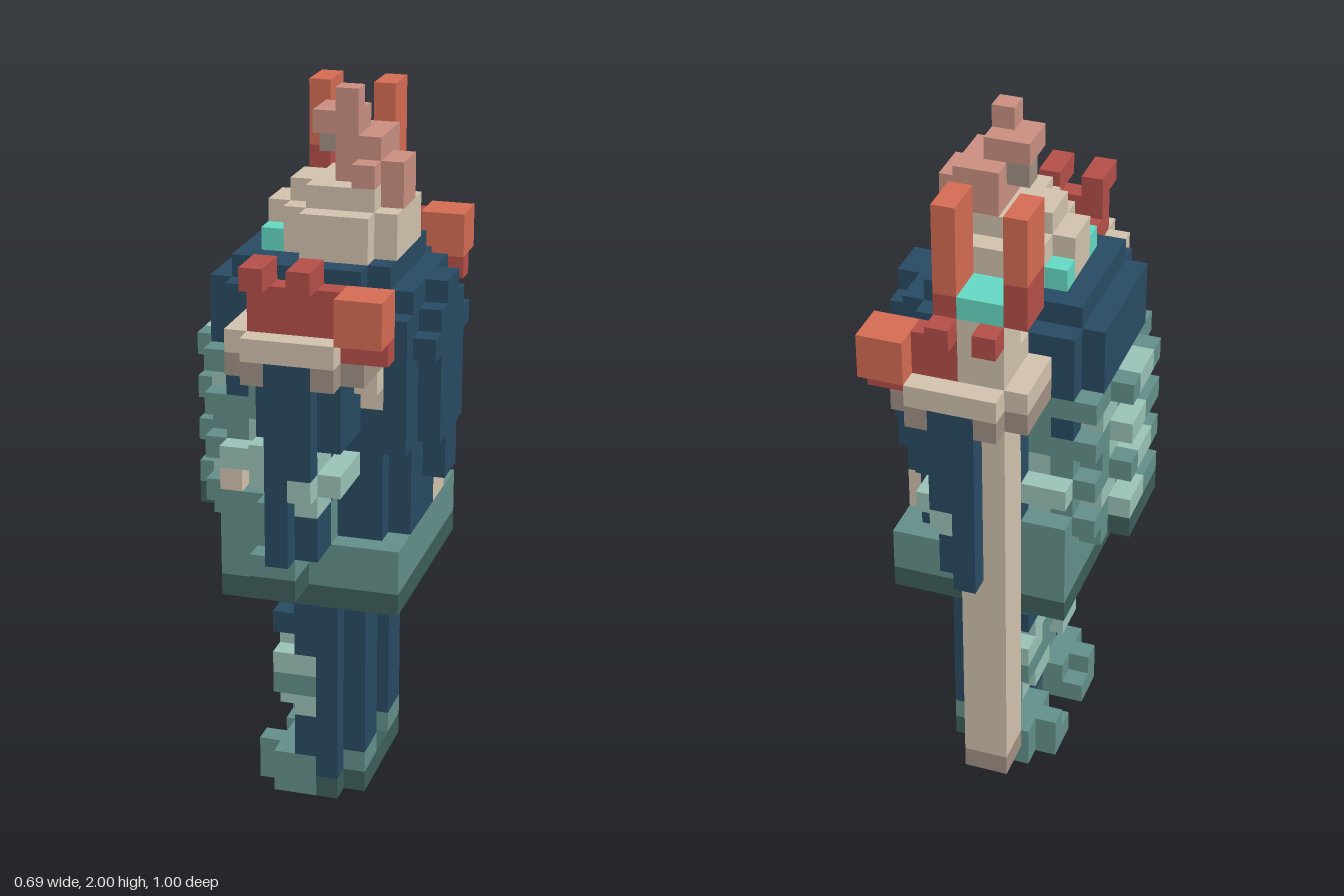
import * as THREE from 'three';

const U = 1 / 16; // one block
const COLORS = {
  navy: 0x294b63, darkTeal: 0x3d5f5b, teal: 0x64908b, paleTeal: 0x9bc3b8, gem: 0x64dac5,
  bone: 0xd2c3ae, taupe: 0xa29285, pink: 0xcb9082, red: 0xb54f49, orange: 0xd66c53,
};

// Each face: direction and four corners, counter-clockwise from outside
const FACES = [
  [[1, 0, 0], [[1, 0, 0], [1, 1, 0], [1, 1, 1], [1, 0, 1]]],
  [[-1, 0, 0], [[0, 0, 0], [0, 0, 1], [0, 1, 1], [0, 1, 0]]],
  [[0, 1, 0], [[0, 1, 0], [0, 1, 1], [1, 1, 1], [1, 1, 0]]],
  [[0, -1, 0], [[0, 0, 0], [1, 0, 0], [1, 0, 1], [0, 0, 1]]],
  [[0, 0, 1], [[0, 0, 1], [1, 0, 1], [1, 1, 1], [0, 1, 1]]],
  [[0, 0, -1], [[0, 0, 0], [0, 1, 0], [1, 1, 0], [1, 0, 0]]],
];

export function createModel() {
  const cells = new Map();
  let part = '';

  // Fill a block range (x, y, z from-to); later fills replace earlier ones
  const fill = (color, x0, x1, y0, y1, z0, z1) => {
    for (let x = x0; x < x1; x++)
      for (let y = y0; y < y1; y++)
        for (let z = z0; z < z1; z++) cells.set(`${x},${y},${z}`, { p: [x, y, z], part, color });
  };
  const both = (color, x0, x1, y0, y1, z0, z1) => {
    fill(color, x0, x1, y0, y1, z0, z1);
    fill(color, x0, x1, y0, y1, 16 - z1, 16 - z0);
  };

  part = 'legs';
  fill('navy', 5, 7, 1, 10, 4, 12);
  both('navy', 5, 8, 1, 10, 9, 11);
  both('navy', 4, 5, 8, 9, 9, 12);
  fill('navy', 3, 9, 9, 10, 7, 9);
  fill('navy', 4, 8, 9, 10, 5, 11);

  part = 'shinScales';
  both('teal', 5, 6, 2, 4, 9, 11);
  both('paleTeal', 5, 6, 2, 3, 8, 10);
  both('paleTeal', 5, 6, 4, 5, 9, 12);
  both('paleTeal', 4, 5, 4, 5, 9, 11);
  both('teal', 4, 6, 5, 6, 9, 12);
  both('paleTeal', 5, 6, 6, 7, 9, 12);
  both('paleTeal', 4, 5, 6, 7, 10, 12);
  both('teal', 4, 6, 6, 7, 8, 10);
  both('paleTeal', 4, 5, 7, 8, 9, 11);
  both('teal', 5, 6, 7, 9, 8, 11);

  part = 'feet';
  fill('darkTeal', 5, 8, 0, 1, 5, 11);
  both('darkTeal', 5, 7, 0, 1, 11, 12);
  both('teal', 4, 6, 0, 2, 9, 12);
  both('teal', 3, 4, 0, 2, 10, 11);
  both('teal', 3, 4, 0, 1, 9, 10);
  both('teal', 7, 8, 1, 2, 9, 11);

  part = 'belt';
  fill('darkTeal', 2, 10, 10, 11, 3, 13);
  fill('teal', 2, 10, 11, 13, 3, 13);

  part = 'cloak';
  fill('navy', 3, 9, 13, 24, 4, 12);
  fill('navy', 2, 9, 24, 25, 5, 11);
  both('navy', 4, 8, 24, 25, 11, 12);
  fill('navy', 9, 10, 13, 24, 5, 11);
  both('navy', 9, 10, 17, 23, 11, 12);
  fill('navy', 2, 3, 21, 24, 4, 12);
  fill('navy', 1, 2, 21, 24, 5, 11);
  // raised spine, widest near the shoulders: [y0, y1, half width]
  for (const [y0, y1, w] of [[15, 17, 1], [17, 21, 2], [21, 22, 3], [22, 23, 2], [23, 24, 1]])
    fill('navy', 10, 11, y0, y1, 8 - w, 8 + w);
  part = 'cloakPatch';
  fill('bone', 9, 10, 13, 15, 5, 7);

  part = 'bellyScales';
  fill('teal', 2, 4, 13, 21, 4, 12);
  fill('teal', 1, 2, 13, 21, 5, 11);
  both('teal', 2, 4, 13, 15, 12, 13);
  both('paleTeal', 2, 4, 16, 17, 12, 13);
  both('paleTeal', 3, 4, 15, 18, 11, 12);
  both('navy', 2, 3, 19, 20, 11, 12);
  // staggered rows of jutting scales
  for (let y = 14; y < 21; y += 2) {
    const shift = y % 4 === 0 ? 0 : 1;
    fill('teal', 0, 1, y, y + 1, 6, 10);
    fill('paleTeal', 0, 1, y, y + 1, 7 - shift, 9 - shift);
    both('teal', 1, 2, y, y + 1, 11, 12);
    both('paleTeal', 1, 2, y - 1, y, 9 - shift, 11 - shift);
  }
  fill('darkTeal', 0, 2, 13, 14, 6, 10);
  fill('bone', 2, 3, 15, 16, 12, 13);

  part = 'arms';
  both('navy', 5, 8, 18, 21, 13, 15);
  both('navy', 4, 8, 18, 21, 12, 14);
  both('navy', 4, 7, 15, 18, 12, 13);
  both('navy', 5, 7, 13, 18, 13, 15);
  both('navy', 5, 6, 13, 22, 15, 16);
  both('navy', 6, 7, 17, 22, 15, 16);
  part = 'cuffs';
  both('paleTeal', 4, 5, 16, 18, 13, 15);
  both('paleTeal', 6, 7, 15, 18, 13, 15);
  both('paleTeal', 7, 8, 16, 17, 12, 15);
  both('paleTeal', 6, 7, 16, 17, 15, 16);
  both('teal', 6, 7, 13, 15, 12, 13);
  both('teal', 4, 5, 13, 15, 12, 14);
  part = 'hand';
  fill('darkTeal', 4, 6, 11, 12, 13, 15);
  fill('teal', 4, 6, 12, 13, 13, 15);

  part = 'shoulderPads';
  both('taupe', 3, 9, 21, 22, 12, 15);
  both('taupe', 4, 8, 21, 22, 15, 16);
  both('navy', 5, 7, 21, 22, 15, 16);
  both('bone', 3, 9, 22, 23, 12, 15);
  both('bone', 4, 8, 22, 23, 15, 16);
  both('bone', 4, 8, 23, 24, 12, 13);
  both('bone', 8, 9, 20, 21, 12, 13);
  both('bone', 8, 9, 19, 20, 11, 12);
  part = 'shoulderCrests';
  both('red', 4, 8, 23, 24, 13, 14);
  both('red', 4, 8, 23, 25, 14, 15);
  for (const x of [4, 6]) both('red', x, x + 1, 25, 26, 14, 16);
  part = 'shoulderHorns';
  both('red', 8, 9, 22, 24, 14, 15);
  both('orange', 8, 10, 23, 25, 14, 16);
  both('red', 9, 10, 22, 23, 14, 15);

  part = 'staff';
  fill('taupe', 4, 6, 2, 3, 1, 3);
  fill('bone', 4, 6, 3, 26, 1, 3);
  part = 'staffHead';
  fill('gem', 4, 6, 26, 27, 1, 3);
  fill('red', 3, 4, 26, 28, 1, 3);
  fill('orange', 3, 4, 28, 31, 1, 3);
  fill('red', 6, 7, 25, 27, 1, 3);
  fill('orange', 6, 7, 27, 31, 1, 3);

  part = 'head';
  fill('bone', 4, 9, 25, 27, 6, 10);
  fill('bone', 5, 8, 25, 27, 5, 11);
  fill('bone', 3, 4, 25, 27, 7, 9);
  fill('bone', 5, 8, 27, 28, 6, 10);
  fill('bone', 4, 5, 27, 28, 7, 9);
  part = 'eyes';
  both('gem', 3, 4, 25, 26, 9, 10);

  part = 'crest';
  fill('pink', 7, 9, 27, 29, 7, 9);
  fill('pink', 6, 8, 28, 30, 7, 9);
  fill('pink', 6, 8, 28, 30, 6, 7);
  fill('pink', 7, 8, 28, 29, 9, 10);
  fill('taupe', 5, 6, 29, 30, 7, 8);
  fill('pink', 5, 7, 30, 31, 7, 9);
  fill('pink', 6, 7, 31, 32, 8, 9);

  // Collect the exposed block faces for each part and colour
  const surfaces = new Map();
  for (const { p, part: name, color } of cells.values()) {
    const key = `${name}|${color}`;
    if (!surfaces.has(key)) surfaces.set(key, []);
    const out = surfaces.get(key);
    for (const [d, corners] of FACES) {
      if (cells.has(p.map((v, n) => v + d[n]).join(','))) continue;
      for (const n of [0, 1, 2, 0, 2, 3]) {
        const c = corners[n];
        out.push((p[0] + c[0] - 5.5) * U, (p[1] + c[1]) * U, (p[2] + c[2] - 8) * U);
      }
    }
  }

  const materials = {};
  for (const [name, color] of Object.entries(COLORS)) {
    materials[name] = new THREE.MeshStandardMaterial({ color });
    materials[name].name = name;
  }

  const model = new THREE.Group();
  model.name = 'staffBearer';
  const groups = {};
  for (const [key, positions] of surfaces) {
    if (!positions.length) continue;
    const [name, color] = key.split('|');
    if (!groups[name]) {
      groups[name] = new THREE.Group();
      groups[name].name = name;
      model.add(groups[name]);
    }
    const geometry = new THREE.BufferGeometry();
    geometry.setAttribute('position', new THREE.Float32BufferAttribute(positions, 3));
    geometry.computeVertexNormals();
    const mesh = new THREE.Mesh(geometry, materials[color]);
    mesh.name = `${name} ${color}`;
    groups[name].add(mesh);
  }
  return model;
}
